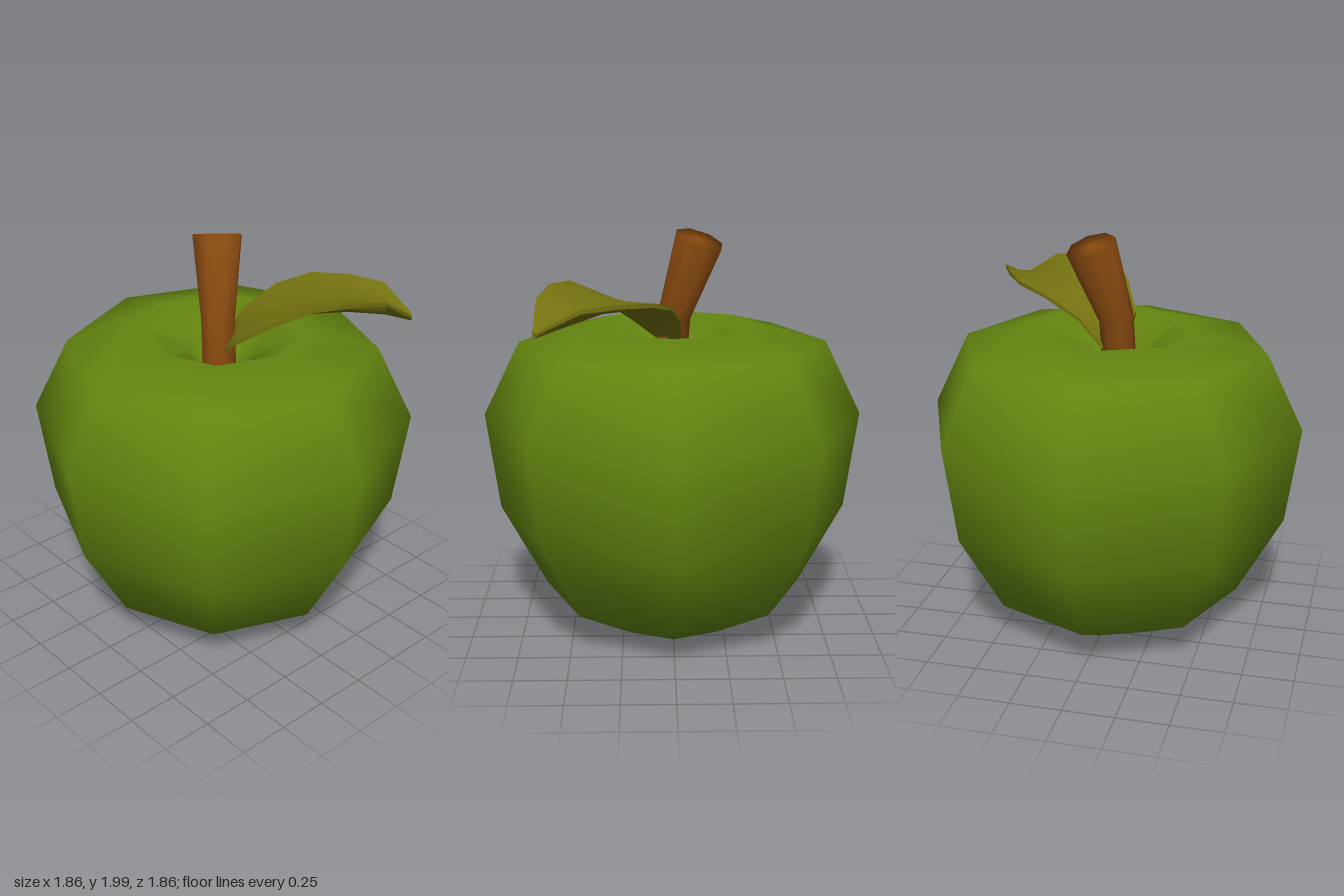
import * as THREE from 'three';
import { toCreasedNormals } from 'three/addons/utils/BufferGeometryUtils.js';

const material = (name, color) => {
  const m = new THREE.MeshStandardMaterial({ color });
  m.name = name;
  return m;
};

// Skin a closed solid over rings of points, running counter-clockwise about the path
function loft(rings) {
  const n = rings[0].length, last = rings.length - 1;
  const centre = (ring) => ring.reduce((s, p) => s.add(p), new THREE.Vector3()).divideScalar(n);
  const points = [...rings.flat(), centre(rings[0]), centre(rings[last])];
  const start = n * rings.length, end = start + 1;
  const index = [];
  for (let j = 0; j < n; j++) {
    const k = (j + 1) % n;
    for (let i = 0; i < last; i++) {
      const a = i * n + j, b = i * n + k, c = a + n, d = b + n;
      index.push(a, b, d, a, d, c);
    }
    index.push(k, j, start, last * n + j, last * n + k, end);
  }
  const geometry = new THREE.BufferGeometry().setFromPoints(points);
  geometry.setIndex(index);
  geometry.computeVertexNormals();
  return geometry;
}

// Eight-sided fruit with a hollow at the top
function fruitGeometry() {
  const profile = [
    [0, 0.02], [0.3, 0], [0.64, 0.19], [0.865, 0.6], [0.932, 1.08],
    [0.752, 1.445], [0.405, 1.53], [0.17, 1.41], [0, 1.2],
  ];
  return new THREE.LatheGeometry(profile.map(([r, y]) => new THREE.Vector2(r, y)), 8);
}

// Bent stem that widens toward its slanted end
function stemGeometry() {
  // x, y, z, radius
  const stations = [
    [-0.03, 1.2, 0.02, 0.085],
    [-0.015, 1.58, -0.01, 0.085],
    [0.08, 1.95, -0.125, 0.122],
  ];
  const centres = stations.map(([x, y, z]) => new THREE.Vector3(x, y, z));
  const rings = stations.map(([, , , r], i) => {
    const axis = centres[Math.min(i + 1, 2)].clone().sub(centres[Math.max(i - 1, 0)]).normalize();
    const e1 = new THREE.Vector3(1, 0, 0).addScaledVector(axis, -axis.x).normalize();
    const e2 = axis.clone().cross(e1);
    return Array.from({ length: 8 }, (_, j) => {
      const t = ((j + 0.5) / 8) * Math.PI * 2;
      return centres[i].clone().addScaledVector(e1, r * Math.cos(t)).addScaledVector(e2, r * Math.sin(t));
    });
  });
  return loft(rings);
}

// Arched, slightly channelled leaf running out along the diagonal
function leafGeometry() {
  // distance, sideways shift, half width, midrib height, near-side edge, far-side edge
  const stations = [
    [0.0, 0.0, 0.07, 1.45, 1.45, 1.45],
    [0.095, -0.02, 0.165, 1.56, 1.58, 1.56],
    [0.25, 0.0, 0.24, 1.66, 1.67, 1.67],
    [0.42, 0.01, 0.285, 1.7, 1.71, 1.76],
    [0.595, 0.02, 0.24, 1.7, 1.72, 1.765],
    [0.77, 0.042, 0.148, 1.66, 1.71, 1.73],
    [0.9, 0.035, 0.02, 1.605, 1.61, 1.61],
  ];
  // across the leaf, and thickness below (-1) or on (0) the upper face
  const section = [[1, 0], [0.5, 0], [0, 0], [-0.5, 0], [-1, 0], [-1, -0.4], [-0.5, -0.8], [0, -1], [0.5, -0.8], [1, -0.4]];
  const rings = stations.map(([u, shift, half, mid, plus, minus], i) => {
    const thick = i === stations.length - 1 ? 0.025 : 0.05;
    return section.map(([s, t]) => {
      const w = shift + half * s;
      const y = mid + ((s > 0 ? plus : minus) - mid) * s * s + t * thick;
      return new THREE.Vector3((u + w) * Math.SQRT1_2, y, (u - w) * Math.SQRT1_2);
    });
  });
  return toCreasedNormals(loft(rings), 0.9);
}

export function createModel() {
  const model = new THREE.Group();
  model.name = 'apple';
  const add = (name, geometry, mat) => {
    const mesh = new THREE.Mesh(geometry, mat);
    mesh.name = name;
    model.add(mesh);
  };
  add('fruit', fruitGeometry(), material('apple green', 0x648510));
  add('stem', stemGeometry(), material('stem brown', 0x8a4b10));
  add('leaf', leafGeometry(), material('leaf olive', 0x747210));
  return model;
}
